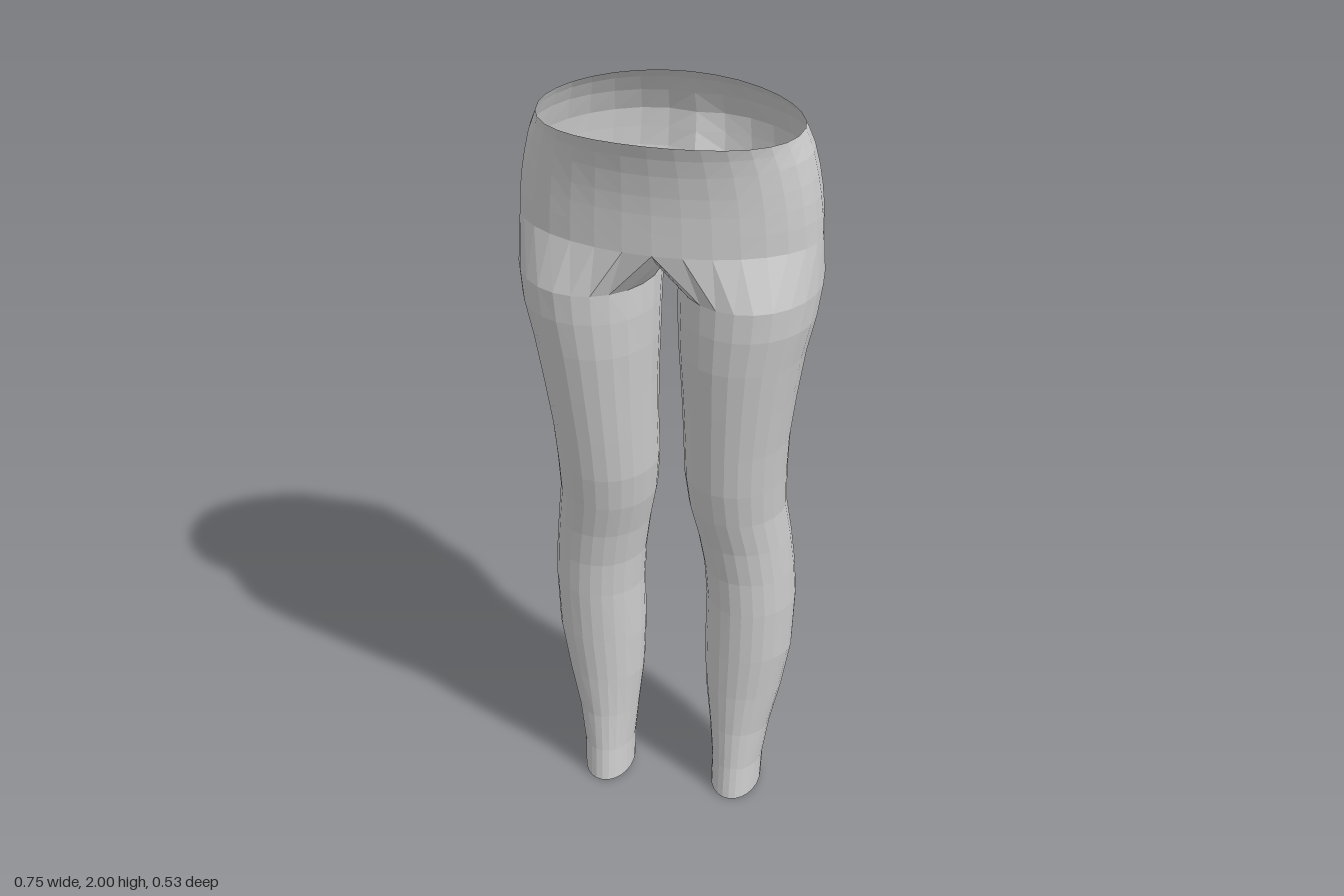
import * as THREE from 'three';

const OUTER = 16;   // segments from centre front round the outside to centre back
const COLS = 24;    // full ring of a leg, the last 8 segments face the other leg

// Leg sections: y, inner x, outer x, back z, front z
const LEG = [
  [0.01, 0.11, 0.24, -0.102, 0.09],
  [0.09, 0.11, 0.243, -0.107, 0.078],
  [0.2, 0.1, 0.26, -0.12, 0.071],
  [0.32, 0.087, 0.288, -0.134, 0.072],
  [0.45, 0.083, 0.311, -0.149, 0.078],
  [0.6, 0.086, 0.318, -0.162, 0.085],
  [0.7, 0.08, 0.314, -0.157, 0.09],
  [0.8, 0.065, 0.305, -0.15, 0.104],
  [0.9, 0.045, 0.293, -0.145, 0.128],
  [1.0, 0.036, 0.295, -0.14, 0.15],
  [1.12, 0.036, 0.303, -0.133, 0.168],
  [1.25, 0.033, 0.321, -0.136, 0.187],
  [1.38, 0.027, 0.342, -0.143, 0.205],
  [1.48, 0.024, 0.365, -0.155, 0.214],
  [1.56, 0.023, 0.376, -0.185, 0.216],
];

// Hip sections: y, half width, back z, front z, depth of the back cleft
const HIPS = [
  [1.69, 0.373, -0.252, 0.214, 0.055],
  [1.75, 0.37, -0.268, 0.217, 0.035],
  [1.8, 0.365, -0.27, 0.22, 0.024],
  [1.85, 0.357, -0.27, 0.226, 0.018],
  [1.91, 0.344, -0.242, 0.238, 0.01],
  [1.96, 0.331, -0.21, 0.253, 0.004],
  [2.0, 0.323, -0.18, 0.27, 0],
];

const legRow = ([y, x0, x1, z0, z1], row) =>
  Array.from({ length: COLS }, (_, i) => {
    const a = (2 * Math.PI) / 3 - (i / COLS) * Math.PI * 2;
    const s = Math.sin(a);
    // slanted hem at the ankle, raised fold under the seat at the top
    const lift = row === 0 ? -0.01 * s : row === LEG.length - 1 ? 0.03 * Math.max(0, -s) : 0;
    return new THREE.Vector3(
      (x0 + x1) / 2 + (x1 - x0) / 2 * Math.cos(a),
      y + lift,
      (z0 + z1) / 2 + (z1 - z0) / 2 * s);
  });

const hipRow = ([y, w, z0, z1, cleft], row) =>
  Array.from({ length: OUTER + 1 }, (_, i) => {
    const a = Math.PI / 2 - (i / OUTER) * Math.PI;
    const s = Math.sin(a);
    const x = i % OUTER === 0 ? 0 : w * Math.cos(a);
    const mid = 0.02;
    let z = mid + s * (s > 0 ? z1 - mid : mid - z0);
    if (s < 0) z += cleft * Math.exp(-((x / 0.06) ** 2));
    // the waist dips at the sides
    const dip = (row === HIPS.length - 1 ? 0.033 : row === HIPS.length - 2 ? 0.014 : 0) * (1 - s * s);
    const back = row === HIPS.length - 1 && s < 0 ? 0.01 * s * s : 0;
    return new THREE.Vector3(x, y - dip - back, z);
  });

// Skin a stack of rows; side = -1 mirrors it
function loft(rows, closed, side) {
  const n = rows[0].length, pos = [], index = [];
  rows.flat().forEach(p => pos.push(p.x * side, p.y, p.z));
  for (let j = 0; j < rows.length - 1; j++) {
    for (let i = 0; i < (closed ? n : n - 1); i++) {
      const k = (i + 1) % n;
      const a = j * n + i, b = j * n + k, c = a + n, d = b + n;
      if (side > 0) index.push(a, b, d, a, d, c);
      else index.push(a, d, b, a, c, d);
    }
  }
  const g = new THREE.BufferGeometry();
  g.setAttribute('position', new THREE.Float32BufferAttribute(pos, 3));
  g.setIndex(index);
  g.computeVertexNormals();
  return g;
}

export function createModel() {
  const group = new THREE.Group();
  const material = new THREE.MeshStandardMaterial({
    color: 0xcccccc, flatShading: true, side: THREE.DoubleSide,
  });

  const hips = HIPS.map(hipRow);

  // Crotch seam on the centre plane, from back to front
  const first = hips[0];
  const seam = new THREE.CatmullRomCurve3([
    first[OUTER],
    new THREE.Vector3(0, 1.645, -0.13),
    new THREE.Vector3(0, 1.615, -0.05),
    new THREE.Vector3(0, 1.61, 0.04),
    new THREE.Vector3(0, 1.62, 0.13),
    first[0],
  ]).getPoints(COLS - OUTER).slice(1, -1);

  const legs = [...LEG.map(legRow), [...first, ...seam]];

  for (const [side, name] of [[1, 'left'], [-1, 'right']]) {
    const leg = new THREE.Mesh(loft(legs, true, side), material);
    leg.name = name + 'Leg';
    const hip = new THREE.Mesh(loft(hips, false, side), material);
    hip.name = name + 'Hip';
    group.add(leg, hip);
  }
  group.name = 'leggings';
  return group;
}
